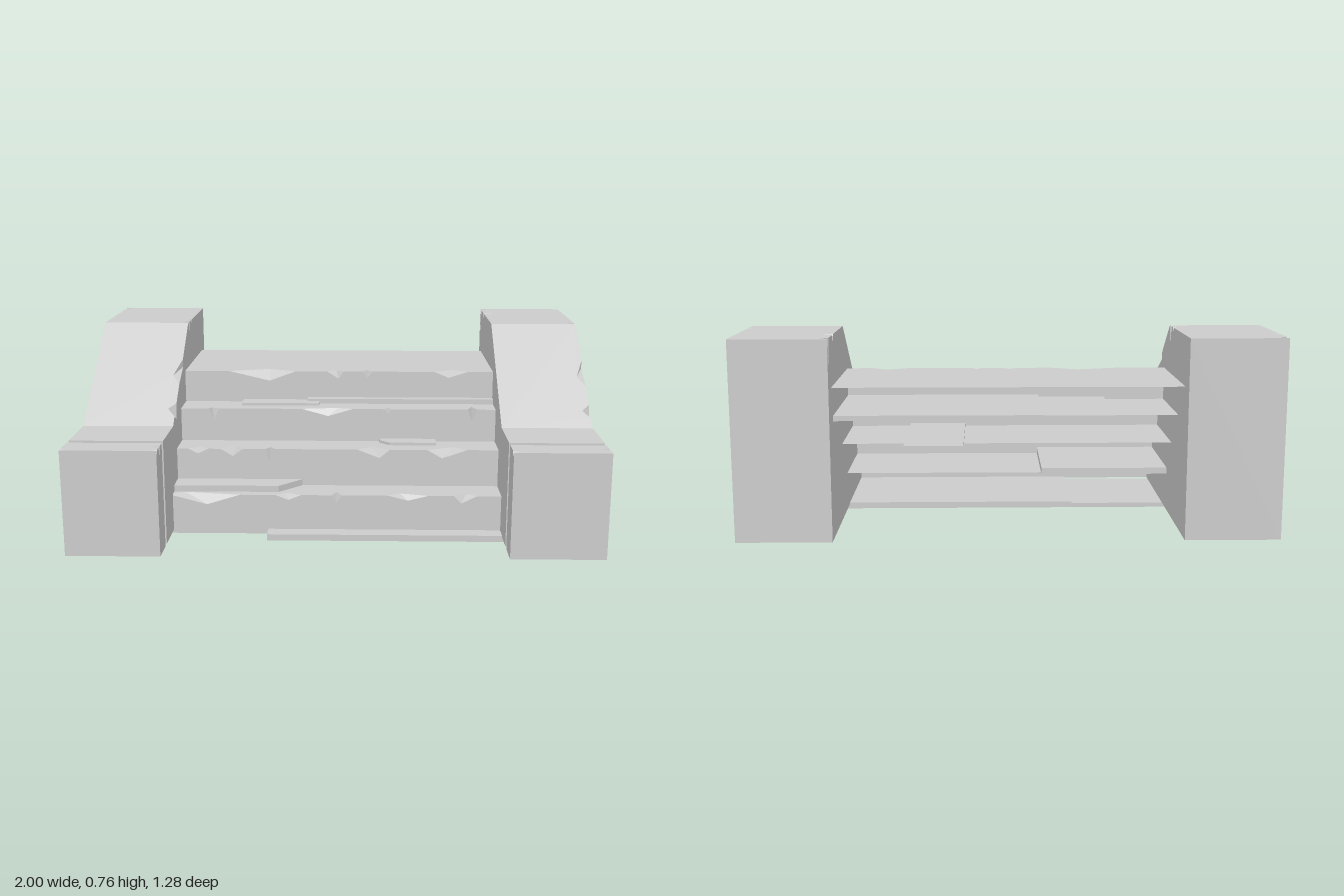
import * as THREE from 'three';

const stone = new THREE.MeshStandardMaterial({ color: 0xcccccc, flatShading: true, side: THREE.DoubleSide });
const V = (x, y, z) => new THREE.Vector3(x, y, z);

// Collects flat polygons, each turned to face a given outward direction
class Shell {
  constructor() { this.pos = []; }
  face(points, out) {
    const a = [Math.abs(out.x), Math.abs(out.y), Math.abs(out.z)];
    const drop = a.indexOf(Math.max(...a));
    const flat = points.map(p => drop === 0 ? new THREE.Vector2(p.z, p.y)
      : drop === 1 ? new THREE.Vector2(p.x, p.z) : new THREE.Vector2(p.x, p.y));
    for (const t of THREE.ShapeUtils.triangulateShape(flat, [])) {
      const [p, q, r] = t.map(i => points[i]);
      const n = q.clone().sub(p).cross(r.clone().sub(p));
      for (const c of n.dot(out) < 0 ? [p, r, q] : [p, q, r]) this.pos.push(c.x, c.y, c.z);
    }
  }
  // Edge a-b shared by two faces; u and v lead from it into each face.
  // A chip is [start, end, tip on u, depth on u, tip on v, depth on v].
  edge(a, b, u, v, chips = []) {
    const dir = b.clone().sub(a), len = dir.length();
    dir.normalize();
    const at = s => a.clone().addScaledVector(dir, Math.min(Math.max(s, 0), len));
    const us = [a], vs = [a], out = u.clone().add(v).negate();
    for (const [s0, s1, su, du, sv, dv] of chips) {
      const p = at(s0), q = at(s1);
      const c = at(su).addScaledVector(u, du), e = at(sv).addScaledVector(v, dv);
      us.push(p, c, q);
      vs.push(p, e, q);
      this.face([p, e, c], out);
      this.face([q, c, e], out);
    }
    us.push(b);
    vs.push(b);
    return { us, vs };
  }
  mesh(name) {
    const g = new THREE.BufferGeometry();
    g.setAttribute('position', new THREE.Float32BufferAttribute(this.pos, 3));
    g.computeVertexNormals();
    const m = new THREE.Mesh(g, stone);
    m.name = name;
    return m;
  }
}

// Step: a riser and a long tread with a chipped nose
const HALF = 0.7;
function step(name, y, bottom, z, chips) {
  const s = new Shell();
  const { us, vs } = s.edge(V(-HALF, y, z), V(HALF, y, z), V(0, 0, -1), V(0, -1, 0),
    chips.map(([x0, x1, xu, du, xv, dv]) => [x0 + HALF, x1 + HALF, xu + HALF, du, xv + HALF, dv]));
  s.face([...us, V(HALF, y, z - 0.5), V(-HALF, y, z - 0.5)], V(0, 1, 0));
  s.face([...vs, V(HALF, bottom, z), V(-HALF, bottom, z)], V(0, 0, 1));
  return s.mesh(name);
}

// Thin slab with an outline in x and z
function slab(name, outline, y0, y1) {
  const shape = new THREE.Shape(outline.map(([x, z]) => new THREE.Vector2(x, -z)));
  const g = new THREE.ExtrudeGeometry(shape, { depth: y1 - y0, bevelEnabled: false });
  g.rotateX(-Math.PI / 2).translate(0, y0, 0);
  const m = new THREE.Mesh(g, stone);
  m.name = name;
  return m;
}
const rect = (x0, x1, z0, z1) => [[x0, z0], [x0, z1], [x1, z1], [x1, z0]];

// Hollow wall block, open below: a [z, y] profile from front to back,
// with chips per top segment on its -x and +x edges
function block(name, x0, x1, base, profile, chipsA = {}, chipsB = {}) {
  const s = new Shell(), sideA = [], sideB = [];
  const first = profile[0], last = profile[profile.length - 1];
  for (let i = 0; i < profile.length - 1; i++) {
    const [za, ya] = profile[i], [zb, yb] = profile[i + 1];
    const up = V(0, za - zb, yb - ya).normalize(), down = up.clone().negate();
    const A = s.edge(V(x0, ya, za), V(x0, yb, zb), V(1, 0, 0), down, chipsA[i]);
    const B = s.edge(V(x1, ya, za), V(x1, yb, zb), V(-1, 0, 0), down, chipsB[i]);
    s.face([...A.us, ...B.us.reverse()], up);
    sideA.push(...A.vs.slice(0, -1));
    sideB.push(...B.vs.slice(0, -1));
  }
  for (const [x, side, out] of [[x0, sideA, -1], [x1, sideB, 1]])
    s.face([...side, V(x, last[1], last[0]), V(x, base, last[0]), V(x, base, first[0])], V(out, 0, 0));
  for (const [[z, y], out] of [[first, 1], [last, -1]])
    s.face([V(x0, base, z), V(x1, base, z), V(x1, y, z), V(x0, y, z)], V(0, 0, out));
  return s.mesh(name);
}

function sideWall(name, x0, x1) {
  const g = new THREE.Group();
  g.name = name;
  g.add(block('wallBody', x0, x1, 0.02,
    [[0.5, 0.425], [0.27, 0.425], [-0.19, 0.765], [-0.64, 0.765]],
    { 2: [[0.29, 0.32, 0.3, 0.045, 0.305, 0.03], [0.4, 0.45, 0.44, 0.03, 0.43, 0.1]] },
    {
      1: [[0.05, 0.12, 0.09, 0.03, 0.07, 0.04], [0.22, 0.36, 0.27, 0.03, 0.34, 0.025]],
      2: [[0.01, 0.04, 0.02, 0.03, 0.028, 0.06], [0.07, 0.1, 0.08, 0.02, 0.09, 0.015]],
    }));
  g.add(block('frontPost', x0, x1, 0.02, [[0.64, 0.425], [0.53, 0.425]],
    { 0: [[0.0, 0.03, 0.012, 0.03, 0.012, 0.02]] },
    { 0: [[0.0, 0.02, 0.008, 0.025, 0.01, 0.015], [0.045, 0.07, 0.055, 0.03, 0.058, 0.035]] }));
  // Recessed core in the joint between post and wall
  g.add(block('jointCore', x0 + 0.015, x1 - 0.015, 0.035, [[0.53, 0.41], [0.5, 0.41]]));
  return g;
}

export function createModel() {
  const model = new THREE.Group();
  model.name = 'stoneStairs';
  model.add(sideWall('leftWall', 0.645, 1), sideWall('rightWall', -1, -0.645));

  // Steps from bottom to top
  model.add(
    step('step1', 0.165, 0.02, 0.335, [
      [-0.66, -0.38, -0.6, 0.035, -0.51, 0.04], [-0.24, -0.14, -0.2, 0.03, -0.19, 0.02],
      [-0.02, 0.02, 0, 0.045, 0, 0.03], [0.2, 0.36, 0.25, 0.03, 0.28, 0.02],
      [0.46, 0.55, 0.51, 0.03, 0.49, 0.03]]),
    step('step2', 0.315, 0.165, 0.2, [
      [-0.6, -0.52, -0.55, 0.04, -0.56, 0.02], [-0.47, -0.38, -0.41, 0.07, -0.42, 0.03],
      [-0.29, -0.25, -0.27, 0.03, -0.27, 0.055], [0.08, 0.21, 0.14, 0.045, 0.17, 0.035],
      [0.36, 0.52, 0.47, 0.045, 0.42, 0.035]]),
    step('step3', 0.45, 0.315, 0.065, [
      [-0.53, -0.49, -0.52, 0.02, -0.51, 0.05], [-0.15, 0.06, 0, 0.02, -0.04, 0.03],
      [0.19, 0.22, 0.2, 0.03, 0.21, 0.02], [0.53, 0.57, 0.55, 0.05, 0.55, 0.05]]),
    step('step4', 0.58, 0.45, -0.07, [
      [-0.46, -0.18, -0.29, 0.05, -0.29, 0.04], [-0.05, 0.02, -0.01, 0.03, 0, 0.03],
      [0.1, 0.14, 0.12, 0.035, 0.12, 0.03], [0.4, 0.54, 0.48, 0.045, 0.46, 0.025]]));

  // Loose slabs lying on the treads
  model.add(
    slab('treadSlab1', [[-0.7, -0.2], [-0.7, 0.295], [-0.23, 0.295], [-0.14, 0.2], [-0.14, -0.2]], 0.165, 0.19),
    slab('treadSlab2', [[0.17, -0.4], [0.17, 0.09], [0.21, 0.13], [0.4, 0.13], [0.4, -0.4]], 0.315, 0.326),
    slab('treadSlab3', rect(-0.4, -0.08, -0.49, 0.005), 0.45, 0.46),
    slab('treadSlab4', rect(-0.13, 0.7, -0.535, -0.035), 0.45, 0.47));

  // Ground slabs
  model.add(
    slab('groundSlabFront', rect(-0.27, 0.72, -0.1, 0.4), 0, 0.025),
    slab('groundSlabBack', rect(-0.88, -0.27, -0.1, 0.32), 0, 0.018));
  return model;
}
